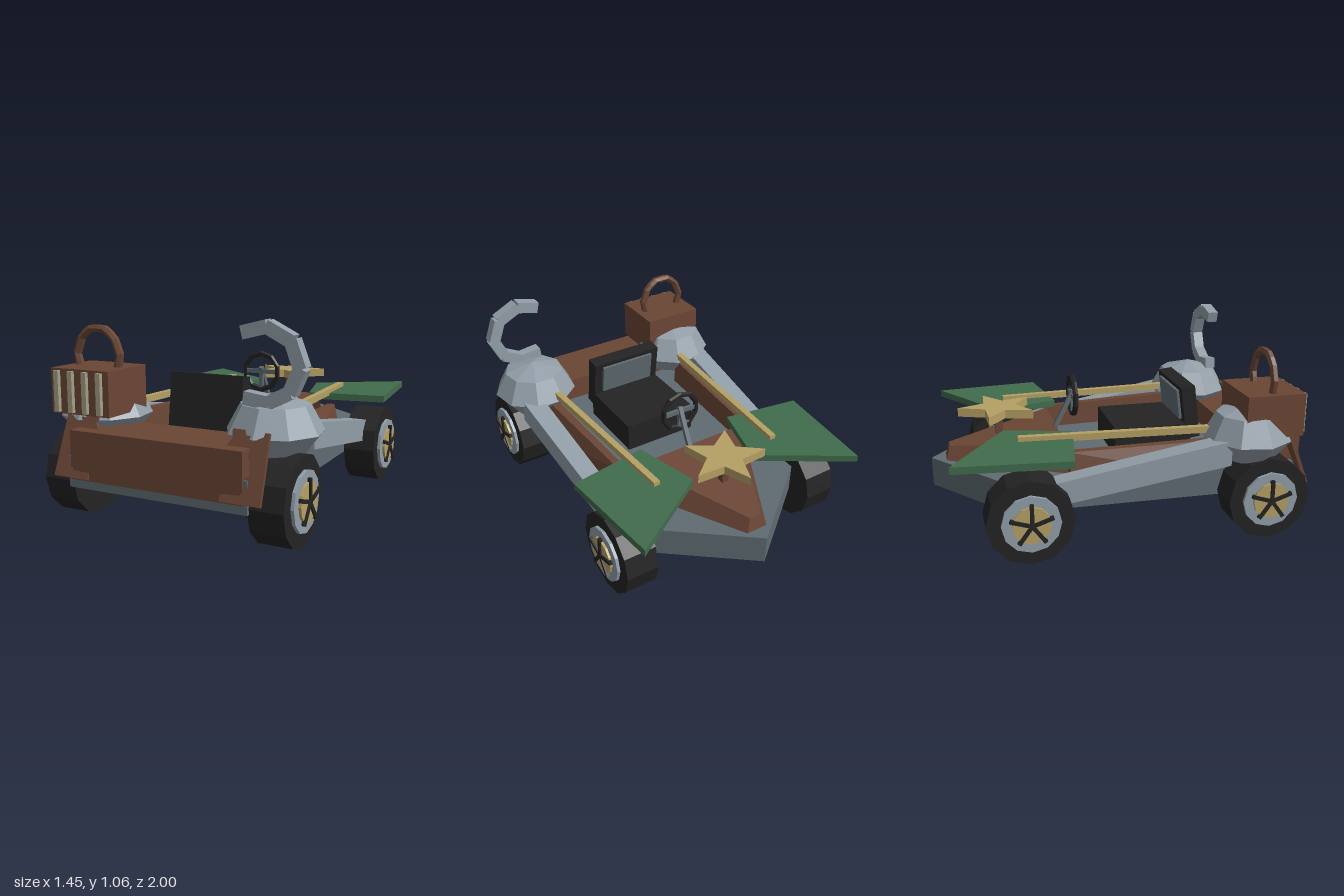
import * as THREE from 'three';
import { ConvexGeometry } from 'three/addons/geometries/ConvexGeometry.js';

const mat = (name, color) => {
  const m = new THREE.MeshStandardMaterial({ color });
  m.name = name;
  m.flatShading = true;
  return m;
};

export function createModel() {
  const wood = mat('brown wood', 0x6b4635);
  const iron = mat('dark grey metal', 0x5f6b72);
  const steel = mat('light grey metal', 0x929ea8);
  const black = mat('black rubber', 0x232323);
  const gold = mat('gold', 0xb5a064);
  const green = mat('green', 0x416c4c);
  const bone = mat('pale slat', 0xa5a087);

  const root = new THREE.Group();
  root.name = 'kart';

  const add = (name, geo, material, pos = [0, 0, 0], rot = [0, 0, 0], parent = root) => {
    const m = new THREE.Mesh(geo, material);
    m.name = name;
    m.position.set(...pos);
    m.rotation.set(...rot);
    parent.add(m);
    return m;
  };
  const box = (w, h, d) => new THREE.BoxGeometry(w, h, d);
  const shapeOf = (pts) => new THREE.Shape(pts.map(([x, y]) => new THREE.Vector2(x, y)));
  // horizontal slab from an outline of [x, z] points
  const slab = (pts, y, h) => new THREE.ExtrudeGeometry(
    shapeOf(pts.map(([x, z]) => [x, -z])), { depth: h, bevelEnabled: false })
    .rotateX(-Math.PI / 2).translate(0, y, 0);
  const hull = (pts) => new ConvexGeometry(pts.map((p) => new THREE.Vector3(...p)));

  // floor with pointed nose
  add('chassis', slab([[0, -1], [0.48, -0.62], [0.5, 0.97], [-0.5, 0.97], [-0.48, -0.62]], 0.2, 0.16), iron);

  // wooden nose cover with sloping sides
  const hood = [];
  for (const s of [-1, 1]) {
    hood.push([s * 0.06, 0.36, -0.92], [s * 0.035, 0.435, -0.9],
      [s * 0.4, 0.36, -0.3], [s * 0.33, 0.5, -0.3]);
  }
  add('hood', hull(hood), wood);

  // wooden end box
  add('endBox', box(0.96, 0.25, 0.32), wood, [0, 0.37, 0.82]);

  // seat
  add('seatCushion', box(0.43, 0.16, 0.44), black, [0, 0.44, 0.22]);
  add('seatBack', box(0.43, 0.3, 0.08), black, [0, 0.585, 0.437], [-0.13, 0, 0]);
  add('seatPad', box(0.33, 0.17, 0.02), iron, [0, 0.62, 0.387], [-0.13, 0, 0]);

  // steering
  const steering = new THREE.Group();
  steering.name = 'steering';
  steering.position.set(0, 0.67, -0.2);
  root.add(steering);
  add('steeringRing', new THREE.TorusGeometry(0.108, 0.016, 6, 10), black, [0, 0, 0], [0, 0, Math.PI / 10], steering);
  add('steeringBar', box(0.2, 0.025, 0.018), iron, [0, 0, 0], [0, 0, 0], steering);
  add('steeringSpoke', box(0.025, 0.1, 0.018), iron, [0, -0.05, 0], [0, 0, 0], steering);
  add('steeringColumn', box(0.025, 0.26, 0.025), iron, [0, -0.09, -0.055], [0.48, 0, 0], steering);

  // star ornament
  const star = [];
  for (let i = 0; i < 10; i++) {
    const r = i % 2 ? 0.095 : 0.222, a = i * Math.PI / 5;
    star.push([Math.sin(a) * r, -0.62 - Math.cos(a) * r]);
  }
  add('star', slab(star, 0.59, 0.048), gold);
  add('starPost', box(0.04, 0.12, 0.04), wood, [0, 0.535, -0.62]);

  // wheel: tyre, rim, hub and five spokes; the outside faces s * x
  const addWheel = (s, z) => {
    const w = new THREE.Group();
    w.name = 'wheel';
    w.position.set(s * 0.58, 0.226, z);
    root.add(w);
    const disc = (r, len, n) => new THREE.CylinderGeometry(r, r, len, n).rotateZ(Math.PI / 2);
    add('tyre', disc(0.226, 0.18, 12), black, [0, 0, 0], [0, 0, 0], w);
    add('rim', disc(0.152, 0.03, 12), steel, [s * 0.092, 0, 0], [0, 0, 0], w);
    add('hub', disc(0.1, 0.02, 12), gold, [s * 0.11, 0, 0], [0, 0, 0], w);
    for (let i = 0; i < 5; i++) {
      add('spoke', box(0.018, 0.115, 0.02).translate(0, 0.0575, 0), black,
        [s * 0.12, 0, 0], [i * Math.PI * 0.4, 0, 0], w);
    }
  };

  for (const s of [-1, 1]) {
    addWheel(s, 0.73);
    addWheel(s, -0.54);

    // cabin side wall, wider at its foot
    add('sideWall', hull([
      [s * 0.46, 0.36, -0.3], [s * 0.38, 0.36, -0.3], [s * 0.43, 0.49, -0.3], [s * 0.39, 0.49, -0.3],
      [s * 0.53, 0.36, 0.33], [s * 0.42, 0.36, 0.5], [s * 0.48, 0.51, 0.5], [s * 0.43, 0.51, 0.5],
      [s * 0.53, 0.36, 0.5]]), wood);

    // faceted shoulder over the wheel
    const profile = [[0, 0.41], [0.15, 0.42], [0.24, 0.53], [0.17, 0.66], [0, 0.71]];
    add('shoulder', new THREE.LatheGeometry(profile.map(([r, y]) => new THREE.Vector2(r, y)), 9),
      steel, [s * 0.49, 0, 0.66]);

    // long arm running down to the other wheel
    add('arm', hull([
      [s * 0.635, 0.555, 0.52], [s * 0.52, 0.555, 0.52], [s * 0.635, 0.42, 0.52], [s * 0.52, 0.42, 0.52],
      [s * 0.59, 0.375, -0.5], [s * 0.49, 0.375, -0.5], [s * 0.59, 0.25, -0.5], [s * 0.49, 0.25, -0.5],
    ]), steel);

    // green fin and gold pole
    add('fin', slab([[s * 0.66, -0.92], [s * 0.72, -0.325], [s * 0.288, -0.255], [s * 0.19, -0.615]], 0.518, 0.038), green);
    add('pole', box(0.036, 0.036, 1.04), gold, [s * 0.402, 0.562, -0.04], [0, s * 0.058, 0]);

    // ragged slanted board at the corner
    const ragged = [[0.37, 0], [0.575, 0], [0.57, 0.2], [0.565, 0.33], [0.545, 0.33], [0.54, 0.31], [0.5, 0.29],
      [0.49, 0.31], [0.45, 0.31], [0.44, 0.335], [0.38, 0.335], [0.385, 0.29], [0.36, 0.25], [0.4, 0.24],
      [0.49, 0.2], [0.5, 0.13], [0.47, 0.12], [0.47, 0.04], [0.37, 0.035]];
    add('cornerBoard', new THREE.ExtrudeGeometry(shapeOf(ragged.map(([x, y]) => [s * x, y])),
      { depth: 0.02, bevelEnabled: false }), wood, [0, 0.25, 0.98], [-0.37, 0, 0]);
  }

  // basket with slats and arched handle
  add('basket', box(0.355, 0.23, 0.32), wood, [-0.467, 0.673, 0.75]);
  for (let i = 0; i < 4; i++) {
    add('slat', box(0.028, 0.21, 0.022), bone, [-0.6 + i * 0.087, 0.673, 0.92]);
  }
  const arch = [[-0.585, 0.77], [-0.605, 0.85], [-0.57, 0.94], [-0.51, 0.98],
    [-0.43, 0.98], [-0.37, 0.94], [-0.335, 0.85], [-0.355, 0.77]];
  const archPath = new THREE.CurvePath();
  for (let i = 0; i < arch.length - 1; i++) {
    archPath.add(new THREE.LineCurve3(
      new THREE.Vector3(...arch[i], 0.745), new THREE.Vector3(...arch[i + 1], 0.745)));
  }
  add('basketHandle', new THREE.TubeGeometry(archPath, 14, 0.022, 6), wood);

  // hook made of straight blocks
  const hook = [[0.39, 1.0], [0.51, 1.03], [0.63, 0.97], [0.675, 0.85], [0.625, 0.74], [0.52, 0.685], [0.4, 0.7]];
  for (let i = 0; i < hook.length - 1; i++) {
    const [x0, y0] = hook[i], [x1, y1] = hook[i + 1];
    add('hookSegment', box(Math.hypot(x1 - x0, y1 - y0) + 0.008, 0.064, 0.062), steel,
      [(x0 + x1) / 2, (y0 + y1) / 2, 0.78], [0, 0, Math.atan2(y1 - y0, x1 - x0)]);
  }

  return root;
}
